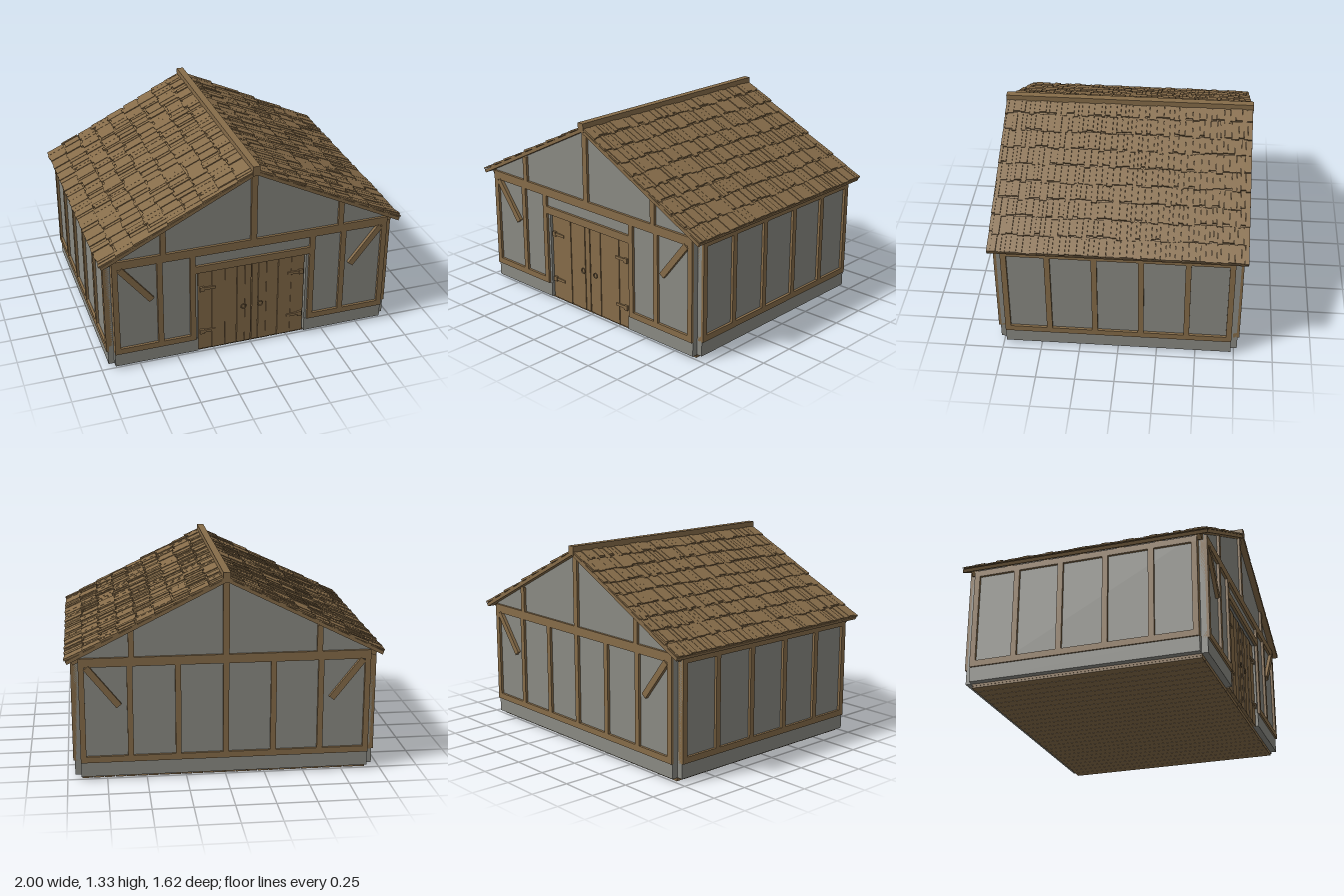
import * as THREE from 'three';
import { mergeGeometries } from 'three/addons/utils/BufferGeometryUtils.js';

const wood = new THREE.MeshStandardMaterial({ color: 0x866c49 });
wood.name = 'brown timber';
const plaster = new THREE.MeshStandardMaterial({ color: 0x8a8a83 });
plaster.name = 'grey plaster';

let seed = 7;
const rnd = () => (seed = (seed * 16807) % 2147483647) / 2147483647;

// Box geometry from its minimum and maximum corners
function span(x0, x1, y0, y1, z0, z1) {
  return new THREE.BoxGeometry(x1 - x0, y1 - y0, z1 - z0)
    .translate((x0 + x1) / 2, (y0 + y1) / 2, (z0 + z1) / 2);
}

function add(parent, name, geos, mat) {
  const mesh = new THREE.Mesh(mergeGeometries(geos), mat);
  mesh.name = name;
  parent.add(mesh);
  return mesh;
}

function outline(points, depth) {
  const shape = new THREE.Shape(points.map(p => new THREE.Vector2(...p)));
  return new THREE.ExtrudeGeometry(shape, { depth, bevelEnabled: false });
}

// Gable end facing +z; the front one has the doorway
function gableEnd(name, isFront) {
  const g = new THREE.Group();
  g.name = name;
  const door = isFront ? [[-0.365, 0.025], [-0.365, 0.615], [0.365, 0.615], [0.365, 0.025]] : [];
  const wall = outline([[-0.915, 0.025], ...door, [0.915, 0.025],
    [0.915, 0.81], [0, 1.268], [-0.915, 0.81]], 0.04).translate(0, 0, 0.725);
  add(g, 'gableWall', [wall], plaster);

  const runs = isFront ? [[-0.915, -0.365], [0.365, 0.915]] : [[-0.915, 0.915]];
  add(g, 'plinth', runs.map(([a, b]) => span(a, b, 0.025, 0.12, 0.73, 0.77)), plaster);

  // Sill, tie beam, studs and gable posts
  const z0 = 0.74, z1 = 0.782;
  const sills = isFront ? [[-0.915, -0.382], [0.382, 0.915]] : [[-0.915, 0.915]];
  const frame = sills.map(([a, b]) => span(a, b, 0.12, 0.16, z0, z1));
  frame.push(span(-0.915, 0.915, 0.745, 0.802, z0, z1));
  const studs = isFront ? [-0.897, -0.613, -0.4, 0.4, 0.613, 0.897]
    : [-0.897, -0.6, -0.3, 0, 0.3, 0.6, 0.897];
  for (const x of studs) frame.push(span(x - 0.018, x + 0.018, 0.16, 0.745, z0, z1));
  frame.push(span(-0.02, 0.02, 0.802, 1.262, z0, z1));
  for (const s of [-1, 1]) {
    frame.push(span(s * 0.588 - 0.018, s * 0.588 + 0.018, 0.802, 0.97, z0, z1));
    // Diagonal corner brace
    frame.push(new THREE.BoxGeometry(0.04, 0.32, 0.03)
      .rotateZ(s * -0.67).translate(s * 0.768, 0.617, 0.772));
  }
  if (isFront) frame.push(span(-0.382, 0.382, 0.622, 0.672, z0, z1));
  add(g, 'timberFrame', frame, wood);
  return g;
}

// Long wall, built facing +x
function longWall(name) {
  const g = new THREE.Group();
  g.name = name;
  add(g, 'wallPanel', [span(0.905, 0.945, 0.025, 0.8, -0.73, 0.73)], plaster);
  add(g, 'plinth', [span(0.91, 0.952, 0.025, 0.12, -0.73, 0.73)], plaster);
  const frame = [span(0.92, 0.962, 0.12, 0.16, -0.73, 0.73), span(0.92, 0.962, 0.74, 0.78, -0.73, 0.73)];
  for (const z of [-0.712, -0.44, -0.147, 0.147, 0.44, 0.712])
    frame.push(span(0.92, 0.962, 0.16, 0.74, z - 0.018, z + 0.018));
  add(g, 'timberFrame', frame, wood);
  return g;
}

// Roof slope falling towards +x: s runs down the slope, n points out of it
function roofSlope(name) {
  const g = new THREE.Group();
  g.name = name;
  const tilt = Math.atan(0.5);
  const place = geo => geo.rotateZ(-tilt).translate(0, 1.29, 0);
  add(g, 'roofDeck', [place(span(0, 1.108, -0.022, 0, -0.805, 0.805))], wood);

  const rafters = [];
  for (let i = -3; i <= 3; i++)
    rafters.push(place(span(0.02, 1.085, -0.055, -0.02, i * 0.245 - 0.022, i * 0.245 + 0.022)));
  add(g, 'rafters', rafters, wood);

  // Nine overlapping courses of uneven shingles
  const shingles = [];
  const step = 1.115 / 9;
  for (let row = 0; row < 9; row++) {
    let z = -0.805;
    while (z < 0.8) {
      const w = Math.min(0.022 + rnd() * 0.026, 0.805 - z);
      const end = row === 8 ? 0.13 - rnd() * 0.008 : 0.124 + (rnd() - 0.5) * 0.03;
      const thick = 0.007 + rnd() * 0.007;
      shingles.push(place(span(0, end, 0, thick, z + 0.0007, z + w - 0.0007)
        .rotateZ(0.045).translate(row * step - 0.008, -0.001, 0)));
      z += w;
    }
  }
  add(g, 'shingles', shingles, wood);
  return g;
}

// One door leaf on the +x side (side = 1) or the -x side (side = -1)
function doorLeaf(side) {
  const g = new THREE.Group();
  g.name = side > 0 ? 'leftDoor' : 'rightDoor';
  const edges = [0.002, 0.045, 0.1, 0.18, 0.27, 0.36];
  const planks = [];
  for (let i = 0; i < edges.length - 1; i++) {
    const a = edges[i] + 0.0015, b = edges[i + 1] - 0.0015;
    const front = 0.752 + (i % 2) * 0.003;
    planks.push(span(Math.min(side * a, side * b), Math.max(side * a, side * b), 0.022, 0.607, 0.735, front));
  }
  const inner = side > 0 ? [0.002, 0.36] : [-0.36, -0.002];
  planks.push(span(...inner, 0.025, 0.605, 0.73, 0.742));
  add(g, 'planks', planks, wood);

  // Strap hinges with a pin block, and a ring handle
  const iron = [];
  for (const y of [0.16, 0.485]) {
    const c = side * 0.295;
    iron.push(span(c - 0.05, c + 0.05, y - 0.009, y + 0.009, 0.75, 0.762));
    iron.push(span(side * 0.335 - 0.014, side * 0.335 + 0.014, y - 0.016, y + 0.016, 0.75, 0.766));
  }
  add(g, 'hinges', iron, wood);
  add(g, 'ringHandle', [new THREE.TorusGeometry(0.016, 0.004, 6, 16).translate(side * 0.057, 0.3, 0.763)], wood);
  return g;
}

export function createModel() {
  const model = new THREE.Group();
  model.name = 'timberFramedBarn';

  // Plank floor
  const floor = [span(-0.91, 0.91, 0.012, 0.025, -0.73, 0.73)];
  const count = 26, w = 1.82 / count;
  for (let i = 0; i < count; i++)
    floor.push(span(-0.91 + i * w + 0.002, -0.91 + (i + 1) * w - 0.002, 0, 0.022, -0.73, 0.73));
  add(model, 'floorPlanks', floor, wood);

  // Walls
  const back = gableEnd('backWall', false);
  back.rotation.y = Math.PI;
  const right = longWall('rightWall');
  right.rotation.y = Math.PI;
  model.add(gableEnd('frontWall', true), back, longWall('leftWall'), right);

  // Double door
  model.add(doorLeaf(1), doorLeaf(-1));

  // Roof
  const rightSlope = roofSlope('rightRoof');
  rightSlope.rotation.y = Math.PI;
  model.add(roofSlope('leftRoof'), rightSlope);
  add(model, 'ridgeBeam', [span(-0.023, 0.023, 1.265, 1.325, -0.808, 0.808)], wood);
  return model;
}
